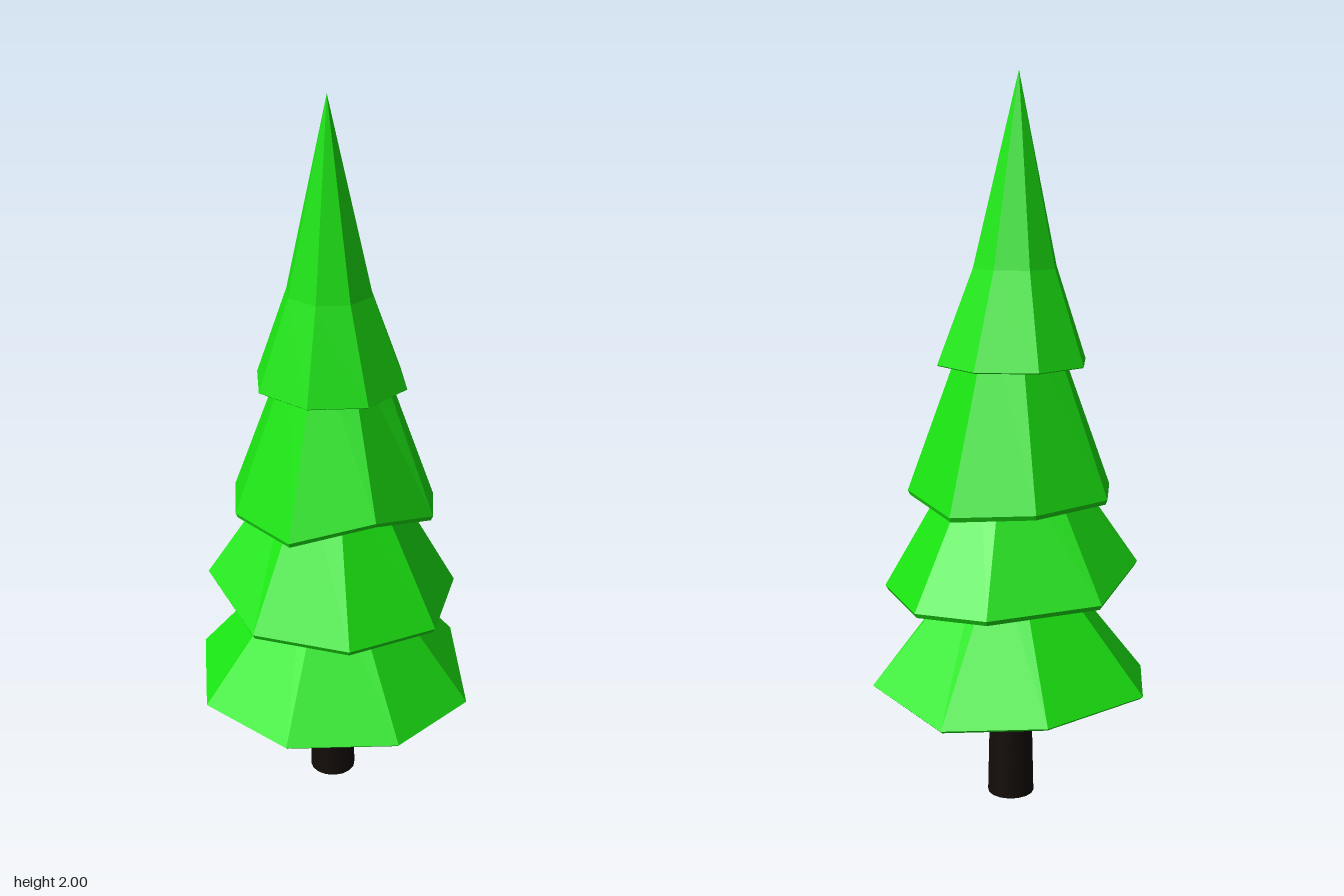
import * as THREE from 'three';

const green = new THREE.MeshStandardMaterial({ color: 0x1be612, flatShading: true });
const bark = new THREE.MeshStandardMaterial({ color: 0x140d09 });

// Each tier: irregular rim corners [x, y, z], lip thickness, and the rings above
// given as [rim scale, y, z offset].
const tiers = [
  {
    name: 'bottomBranches', lip: 0.007,
    rim: [[0, 0.32, -0.4], [0.28, 0.355, -0.28], [0.4, 0.295, 0], [0.28, 0.31, 0.28],
      [0, 0.32, 0.4], [-0.28, 0.32, 0.28], [-0.4, 0.345, 0], [-0.25, 0.33, -0.28]],
    rings: [[0.22, 0.72, 0]],
  },
  {
    name: 'lowerMiddleBranches', lip: 0.013,
    rim: [[-0.09, 0.6, -0.315], [0.115, 0.595, -0.33], [0.315, 0.595, -0.15], [0.33, 0.585, 0.115],
      [0.15, 0.595, 0.315], [-0.115, 0.605, 0.33], [-0.315, 0.67, 0.15], [-0.325, 0.62, -0.115]],
    rings: [[0.33, 1.02, 0]],
  },
  {
    name: 'upperMiddleBranches', lip: 0.013,
    rim: [[0.03, 0.855, -0.29], [0.25, 0.87, -0.13], [0.29, 0.875, 0.02], [0.19, 0.935, 0.22],
      [-0.025, 0.875, 0.29], [-0.22, 0.875, 0.17], [-0.29, 0.875, -0.005], [-0.185, 0.87, -0.22]],
    rings: [[0.36, 1.38, 0]],
  },
  {
    name: 'topBranches', lip: 0.003,
    rim: [[0, 1.235, -0.21], [0.145, 1.235, -0.145], [0.205, 1.235, 0], [0.145, 1.235, 0.15],
      [0, 1.235, 0.21], [-0.155, 1.235, 0.145], [-0.215, 1.235, 0], [-0.155, 1.235, -0.145]],
    rings: [[0.56, 1.49, 0.02], [0, 2, 0.047]],
  },
];

// Hollow faceted skirt: inner roof, inner wall, lip, outer wall, top
function makeTier({ name, rim, lip, rings }) {
  const n = rim.length;
  const ring = (s, y, dz) => rim.map(([x, , z]) => [x * s, y, z * s + dz]);
  const [s0, y0, z0] = rings[0];
  const [sTop, yTop, zTop] = rings[rings.length - 1];
  const sections = [
    ring(0, y0 - 0.03, z0),
    ring(s0 * 0.85, y0 - 0.03, z0),
    rim.map(([x, y, z]) => [x * 0.98, y, z * 0.98]),
    rim.map(([x, y, z]) => [x, y + lip, z]),
    ...rings.map((r) => ring(...r)),
  ];
  if (sTop > 0) sections.push(ring(0, yTop, zTop));

  const index = [];
  for (let k = 0; k < sections.length - 1; k++) {
    for (let i = 0; i < n; i++) {
      const a = k * n + i, b = k * n + (i + 1) % n;
      index.push(a, a + n, b + n, a, b + n, b);
    }
  }
  const indexed = new THREE.BufferGeometry();
  indexed.setAttribute('position', new THREE.Float32BufferAttribute(sections.flat(2), 3));
  indexed.setIndex(index);
  const geometry = indexed.toNonIndexed();
  geometry.computeVertexNormals();
  const mesh = new THREE.Mesh(geometry, green);
  mesh.name = name;
  return mesh;
}

export function createModel() {
  const tree = new THREE.Group();
  tree.name = 'pineTree';

  // Slightly tapered trunk running up inside the lower tiers
  const trunk = new THREE.Mesh(new THREE.CylinderGeometry(0.045, 0.065, 0.85, 16), bark);
  trunk.position.y = 0.425;
  trunk.name = 'trunk';
  tree.add(trunk);

  for (const tier of tiers) tree.add(makeTier(tier));
  return tree;
}
